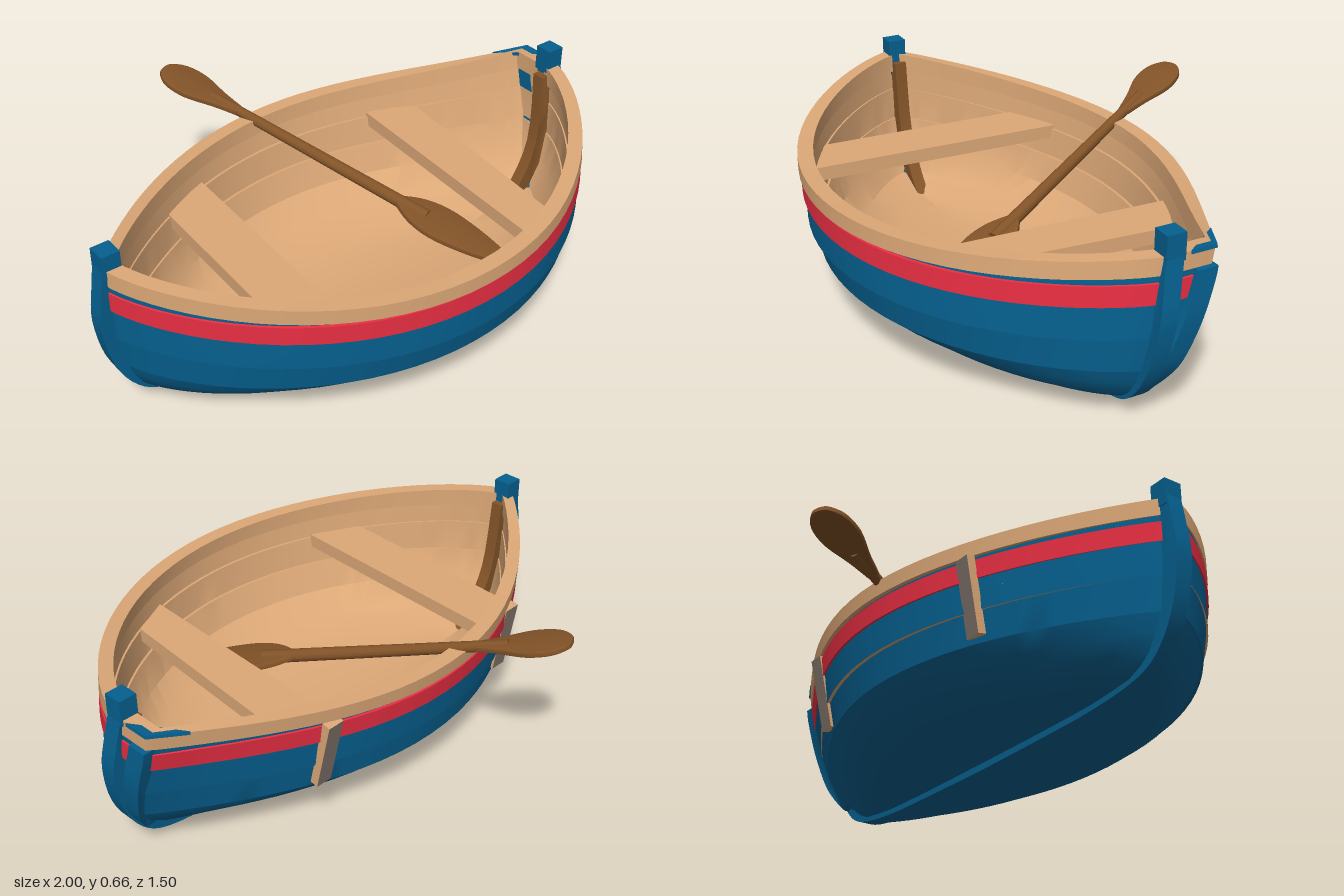
import * as THREE from 'three';
import { toCreasedNormals } from 'three/addons/utils/BufferGeometryUtils.js';

const mat = (name, color) => {
  const m = new THREE.MeshStandardMaterial({ color });
  m.name = name;
  return m;
};
const V2 = (p) => new THREE.Vector2(p[0], p[1]);

// Centre line of the hull, leaning over towards the +x stem head
const centre = (x, y) => 0.085 - 0.0275 * (1 + x) * THREE.MathUtils.clamp(y / 0.6, 0, 1) ** 2;
// The rear half swings away from the stem at the +x end, more so higher up
const swing = (y) => 0.14 * Math.pow(THREE.MathUtils.clamp((y - 0.1) / 0.4, 0, 1), 0.45);

// Point on a hull ring; lv = [y, rise to the ends, half length, front breadth, rear breadth]
function hullPoint([y0, rise, X, bf, bb], u, front) {
  const x = X * u, y = y0 + rise * Math.abs(u) ** 2.4;
  const k = Math.max(0, 1 - u * u);
  const z = front
    ? centre(x, y) + bf * Math.pow(k, 0.72)
    : centre(x, y) - bb * Math.pow(k, 0.95) - (u > 0 ? swing(y) * u ** 4 : 0);
  return [x, y, z];
}

// Loft a list of closed rings
function loft(levels, crease = 0.5) {
  const N = 40, M = 2 * (N + 1), pos = [], idx = [];
  for (const lv of levels) {
    for (let i = 0; i <= N; i++) pos.push(...hullPoint(lv, Math.cos((Math.PI * i) / N), true));
    for (let i = 0; i <= N; i++) pos.push(...hullPoint(lv, -Math.cos((Math.PI * i) / N), false));
  }
  for (let r = 0; r < levels.length - 1; r++) {
    for (let i = 0; i < M; i++) {
      const a = r * M + i, b = r * M + ((i + 1) % M), c = a + M, d = b + M;
      idx.push(a, c, b, b, c, d);
    }
  }
  const g = new THREE.BufferGeometry();
  g.setAttribute('position', new THREE.Float32BufferAttribute(pos, 3));
  g.setIndex(idx);
  return toCreasedNormals(g, crease);
}

// Side-profile slab, its z shifted by a rule
function slab(points, depth, zRule) {
  const g = new THREE.ExtrudeGeometry(new THREE.Shape(points), { depth, bevelEnabled: false });
  g.translate(0, 0, -depth / 2);
  const p = g.attributes.position;
  for (let i = 0; i < p.count; i++) p.setZ(i, p.getZ(i) + zRule(p.getX(i), p.getY(i)));
  return toCreasedNormals(g, 0.5);
}

// Flat board from a plan outline given as [x, z]
function board(outline, thickness, top) {
  const g = new THREE.ExtrudeGeometry(new THREE.Shape(outline.map(V2)), { depth: thickness, bevelEnabled: false });
  g.rotateX(Math.PI / 2);
  g.translate(0, top, 0);
  return g;
}

const smooth = (pts, n) => new THREE.SplineCurve(pts.map(V2)).getPoints(n);

export function createModel() {
  const boat = new THREE.Group();
  boat.name = 'rowingBoat';
  const blue = mat('bluePaint', 0x05608f);
  const red = mat('redPaint', 0xee3044);
  const tan = mat('paleWood', 0xdca877);
  const brown = mat('darkWood', 0x825328);
  const grey = mat('weatheredStrap', 0x85776f);
  const add = (name, geo, material, parent = boat) => {
    const m = new THREE.Mesh(geo, material);
    m.name = name;
    parent.add(m);
    return m;
  };

  // Lower planking, each plank lapping the one below
  const lapIn = [0.30, 0.03, 0.96, 0.637, 0.470], lapOut = [0.298, 0.03, 0.962, 0.652, 0.484];
  add('lowerPlanks', loft([
    [0.02, 0, 0.6, 0, 0],
    [0.03, 0, 0.72, 0.13, 0.08],
    [0.048, 0, 0.82, 0.31, 0.19],
    [0.072, 0, 0.86, 0.405, 0.26],
    [0.10, 0, 0.89, 0.475, 0.32],
    [0.15, 0.005, 0.92, 0.55, 0.40],
    [0.205, 0.01, 0.94, 0.596, 0.445],
    [0.20, 0.01, 0.945, 0.612, 0.455],
    lapIn,
  ]), blue);
  // Bare wood underside of the upper lap
  add('plankLap', loft([lapIn, lapOut]), tan);
  add('upperPlank', loft([
    lapOut,
    [0.40, 0.045, 0.965, 0.657, 0.49],
    [0.485, 0.053, 0.965, 0.66, 0.492],
  ]), blue);

  // Painted band
  add('redBand', loft([
    [0.402, 0.04, 0.965, 0.65, 0.485],
    [0.400, 0.04, 0.97, 0.669, 0.499],
    [0.465, 0.043, 0.97, 0.671, 0.501],
    [0.467, 0.043, 0.965, 0.65, 0.485],
  ]), red);

  // Gunwale around the top edge
  add('gunwale', loft([
    [0.478, 0.053, 0.968, 0.682, 0.505],
    [0.528, 0.062, 0.968, 0.685, 0.507],
    [0.528, 0.062, 0.915, 0.63, 0.455],
    [0.47, 0.053, 0.915, 0.63, 0.455],
    [0.478, 0.053, 0.968, 0.682, 0.505],
  ]), tan);

  // Inner lining and floor, listed from the top down
  add('innerLining', loft([
    [0.50, 0.053, 0.925, 0.642, 0.468],
    [0.40, 0.05, 0.925, 0.625, 0.455],
    [0.40, 0.05, 0.92, 0.615, 0.445],
    [0.30, 0.03, 0.915, 0.595, 0.432],
    [0.30, 0.03, 0.91, 0.585, 0.422],
    [0.20, 0.01, 0.88, 0.54, 0.39],
    [0.13, 0, 0.83, 0.44, 0.30],
    [0.08, 0, 0.7, 0.29, 0.17],
    [0.07, 0, 0.6, 0, 0],
  ]), tan);

  // Keel running up into both stem posts
  const outer = [[0, 0], [0.35, 0.004], [0.6, 0.012], [0.8, 0.04], [0.9, 0.1], [0.97, 0.22], [1, 0.38], [0.988, 0.5], [0.972, 0.6]];
  const inner = [[0.912, 0.6], [0.92, 0.5], [0.935, 0.38], [0.9, 0.25], [0.84, 0.15], [0.75, 0.09], [0.6, 0.05], [0, 0.035]];
  const half = [...smooth(outer, 32), ...smooth(inner, 28)];
  const mirrored = half.map((p) => new THREE.Vector2(-p.x, p.y)).reverse();
  add('keelAndStems', slab([...half.slice(0, -1), ...mirrored.slice(0, -1)], 0.06, centre), blue);

  // Post heads
  for (const [x, top] of [[-0.942, 0.645], [0.943, 0.66]]) {
    const head = add('postHead', new THREE.BoxGeometry(0.064, 0.09, 0.066), blue);
    head.position.set(x, top - 0.045, centre(x, top));
  }

  // Second stem strip where the rear planking ends
  const strip = [
    ...smooth([[0.985, 0.53], [0.99, 0.4], [0.98, 0.3], [0.955, 0.2], [0.9, 0.11]], 20),
    ...smooth([[0.84, 0.13], [0.89, 0.22], [0.91, 0.3], [0.92, 0.4], [0.92, 0.53]], 20),
  ];
  add('rearStemStrip', slab(strip, 0.07, (x, y) => centre(x, y) + 0.012 - swing(y) * 0.92), blue);

  // Painted cap lying on the rear corner of the gunwale
  const cap = add('cornerCap', board([[-0.12, -0.065], [0, -0.005], [0, 0.085]], 0.012, 0), blue);
  cap.position.set(0.972, 0.594, -0.105);
  cap.rotation.z = 0.14;

  // Inner knees behind the stems
  for (const s of [-1, 1]) {
    const knee = [
      ...smooth([[0.93, 0.56], [0.93, 0.4], [0.9, 0.2], [0.8, 0.07]], 12),
      ...smooth([[0.69, 0.075], [0.76, 0.14], [0.85, 0.3], [0.885, 0.56]], 12),
    ].map((p) => new THREE.Vector2(s * p.x, p.y));
    add('stemKnee', slab(knee, 0.045, centre), brown);
  }

  // Thwarts
  add('leftEndSeat', board([[-0.55, -0.255], [-0.36, -0.33], [-0.405, 0.605], [-0.585, 0.515]], 0.05, 0.42), tan);
  add('rightEndSeat', board([[0.37, -0.335], [0.545, -0.25], [0.47, 0.56], [0.32, 0.635]], 0.05, 0.42), tan);

  // Straps on the rear planking, facing straight back, pale edges and weathered faces
  for (const x of [0.445, -0.45]) {
    const at = (lv) => new THREE.Vector3(...hullPoint(lv, x / lv[2], false));
    const a = at([0.475, 0.053, 0.968, 0.665, 0.499]), b = at([0.22, 0.01, 0.945, 0.61, 0.46]);
    const up = a.clone().sub(b), len = up.length();
    up.normalize();
    const out = new THREE.Vector3(-1, 0, 0).cross(up).normalize();
    const along = up.clone().cross(out);
    const strap = add('rearStrap', new THREE.BoxGeometry(0.062, len, 0.03), [tan, tan, tan, tan, grey, tan]);
    strap.quaternion.setFromRotationMatrix(new THREE.Matrix4().makeBasis(along, up, out));
    strap.position.copy(a).add(b).multiplyScalar(0.5).addScaledVector(out, 0.006);
  }

  // Double-bladed paddle resting on the rear gunwale
  const foot = new THREE.Vector3(0.34, 0.24, 0.52), tip = new THREE.Vector3(-0.235, 0.63, -0.74);
  const dir = tip.clone().sub(foot), length = dir.length();
  dir.normalize();
  const side = dir.clone().cross(new THREE.Vector3(0, 1, 0)).normalize();
  const paddle = new THREE.Group();
  paddle.name = 'paddle';
  paddle.quaternion.setFromRotationMatrix(new THREE.Matrix4().makeBasis(side, dir, side.clone().cross(dir)));
  paddle.position.copy(foot);
  boat.add(paddle);
  const blade = (edge) => {
    const right = smooth(edge, 20);
    const left = right.map((p) => new THREE.Vector2(-p.x, p.y)).reverse();
    const g = new THREE.ExtrudeGeometry(new THREE.Shape([...right, ...left]), {
      depth: 0.008, bevelThickness: 0.006, bevelSize: 0.006, bevelSegments: 2,
    });
    g.translate(0, 0, -0.004);
    return toCreasedNormals(g, 0.6);
  };
  add('lowerBlade', blade([[0.008, 0.006], [0.03, 0.06], [0.062, 0.17], [0.078, 0.29], [0.06, 0.38], [0.018, 0.45]]), brown, paddle);
  add('upperBlade', blade([
    [0.016, length - 0.32], [0.035, length - 0.24], [0.066, length - 0.14], [0.062, length - 0.06], [0.03, length - 0.014], [0.004, length - 0.006],
  ]), brown, paddle);
  const shaft = add('shaft', new THREE.CylinderGeometry(0.018, 0.024, length - 0.55, 12), brown, paddle);
  shaft.position.y = 0.34 + (length - 0.55) / 2;
  return boat;
}
